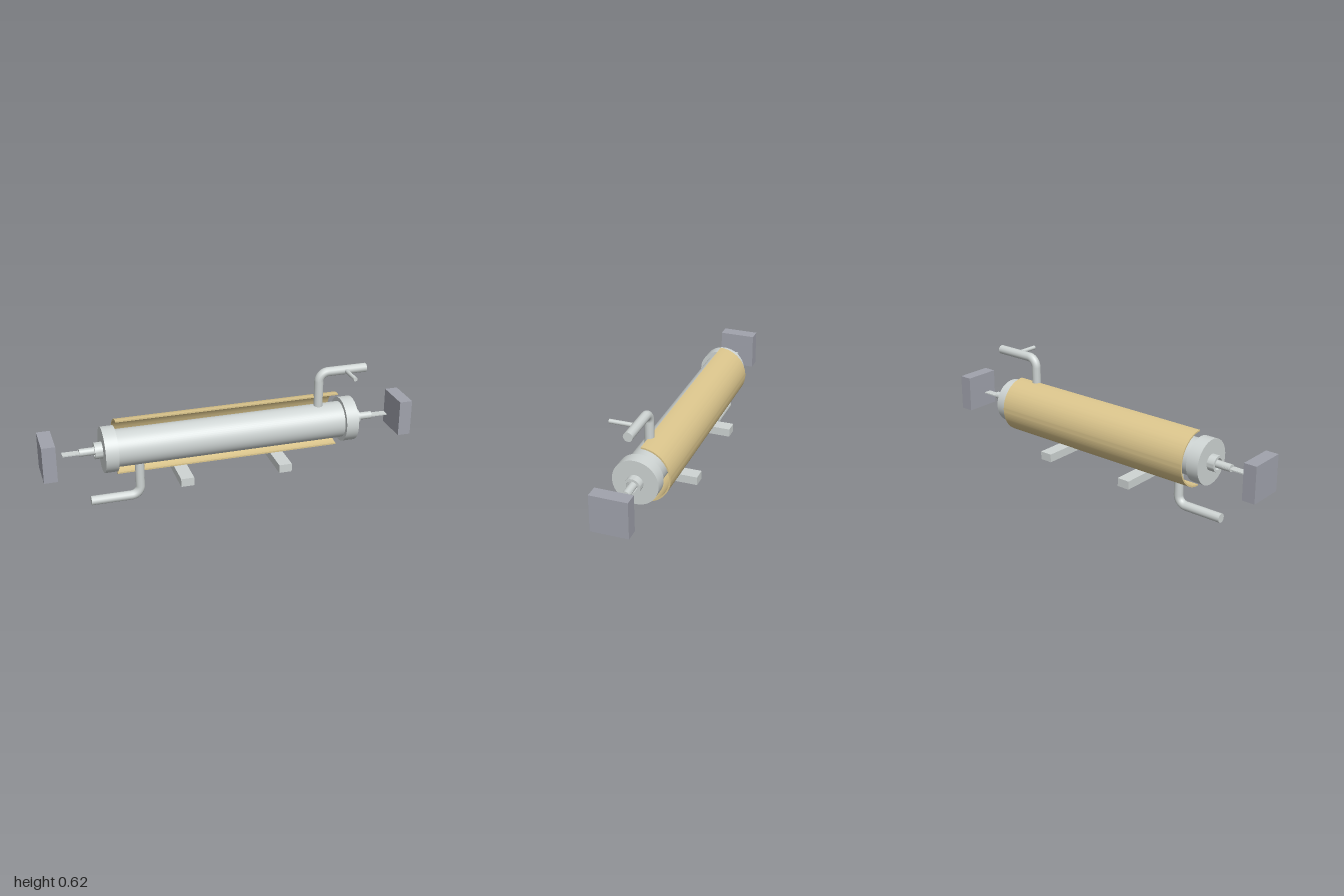
import * as THREE from 'three';
import { toCreasedNormals } from 'three/addons/utils/BufferGeometryUtils.js';

const AXIS_Y = 0.312, AXIS_Z = 0.018;

export function createModel() {
  const root = new THREE.Group();
  const steel = new THREE.MeshStandardMaterial({ color: 0xcfd5d4 });
  steel.name = 'light steel';
  const darkSteel = new THREE.MeshStandardMaterial({ color: 0xa1a3ad });
  darkSteel.name = 'dark steel';
  const tan = new THREE.MeshStandardMaterial({ color: 0xdcc68d });
  tan.name = 'tan reflector';

  // Everything on the axis lives in this group, with its own origin on the axis
  const core = new THREE.Group();
  core.name = 'tubeAssembly';
  core.position.set(0, AXIS_Y, AXIS_Z);
  root.add(core);

  const add = (name, geometry, material, x = 0, y = 0, z = 0, parent = core) => {
    const mesh = new THREE.Mesh(geometry, material);
    mesh.name = name;
    mesh.position.set(x, y, z);
    parent.add(mesh);
    return mesh;
  };
  const rodX = (r, length, sides = 48) =>
    new THREE.CylinderGeometry(r, r, length, sides).rotateZ(-Math.PI / 2);

  // Main tube
  add('mainTube', rodX(0.098, 1.24, 64), steel);

  // End fittings: flange, hollow collar, rod, flat tab and end block
  const collarProfile = [[0.03, 0], [0.043, 0], [0.043, 0.042], [0.03, 0.042], [0.03, 0]]
    .map(([r, h]) => new THREE.Vector2(r, h));
  const collar = toCreasedNormals(new THREE.LatheGeometry(collarProfile, 40), 0.6);
  for (const side of [1, -1]) {
    const end = new THREE.Group();
    end.name = side > 0 ? 'leftEnd' : 'rightEnd';
    if (side < 0) end.rotation.y = Math.PI;
    core.add(end);
    add('flange', rodX(0.12, 0.068, 64), steel, 0.651, 0, 0, end);
    add('collar', collar, steel, 0.684, 0, 0, end).rotation.z = -Math.PI / 2;
    add('rod', rodX(0.02, 0.12, 24), steel, 0.743, 0, 0, end);
    add('tab', new THREE.BoxGeometry(0.13, 0.006, 0.042), steel, 0.825, 0, 0, end);
    add('endBlock', new THREE.BoxGeometry(0.07, 0.195, 0.195), darkSteel, 0.965, 0, 0, end);
  }

  // Half-round reflector shell behind the tube
  const arc = new THREE.Shape();
  arc.absarc(0, 0, 0.151, Math.PI / 2, -Math.PI / 2, true);
  arc.absarc(0, 0, 0.143, -Math.PI / 2, Math.PI / 2, false);
  arc.closePath();
  const shell = new THREE.ExtrudeGeometry(arc, { depth: 1.214, bevelEnabled: false, curveSegments: 48 });
  shell.rotateY(Math.PI / 2);
  add('reflectorShell', toCreasedNormals(shell, 0.6), tan, -0.609);

  // Elbow pipes: one rises on the left, the other is turned half round to drop on the right
  const path = new THREE.CurvePath();
  const v = (x, y) => new THREE.Vector3(x, y, 0);
  path.add(new THREE.LineCurve3(v(0.492, 0.08), v(0.492, 0.236)));
  path.add(new THREE.CubicBezierCurve3(v(0.492, 0.236), v(0.492, 0.2636), v(0.5144, 0.286), v(0.542, 0.286)));
  path.add(new THREE.LineCurve3(v(0.542, 0.286), v(0.756, 0.286)));
  const pipe = new THREE.TubeGeometry(path, 60, 0.0245, 12, false);
  const cap = new THREE.CircleGeometry(0.0245, 12).rotateY(Math.PI / 2);
  for (const [name, turn] of [['upperPipe', 0], ['lowerPipe', Math.PI]]) {
    const group = new THREE.Group();
    group.name = name;
    group.rotation.z = turn;
    core.add(group);
    add('elbow', pipe, steel, 0, 0, 0, group);
    add('pipeEnd', cap, steel, 0.756, 0.286, 0, group);
  }

  // Thin side pipe pointing forward from the upper pipe
  const branch = new THREE.CylinderGeometry(0.011, 0.011, 0.142, 16).rotateX(Math.PI / 2);
  add('branchPipe', branch, steel, 0.64, 0.286, 0.071);

  // Cross bars under the shell
  for (const x of [-0.271, 0.265])
    add('crossBar', new THREE.BoxGeometry(0.07, 0.045, 0.32), steel, x, 0.133, 0, root);

  return root;
}
